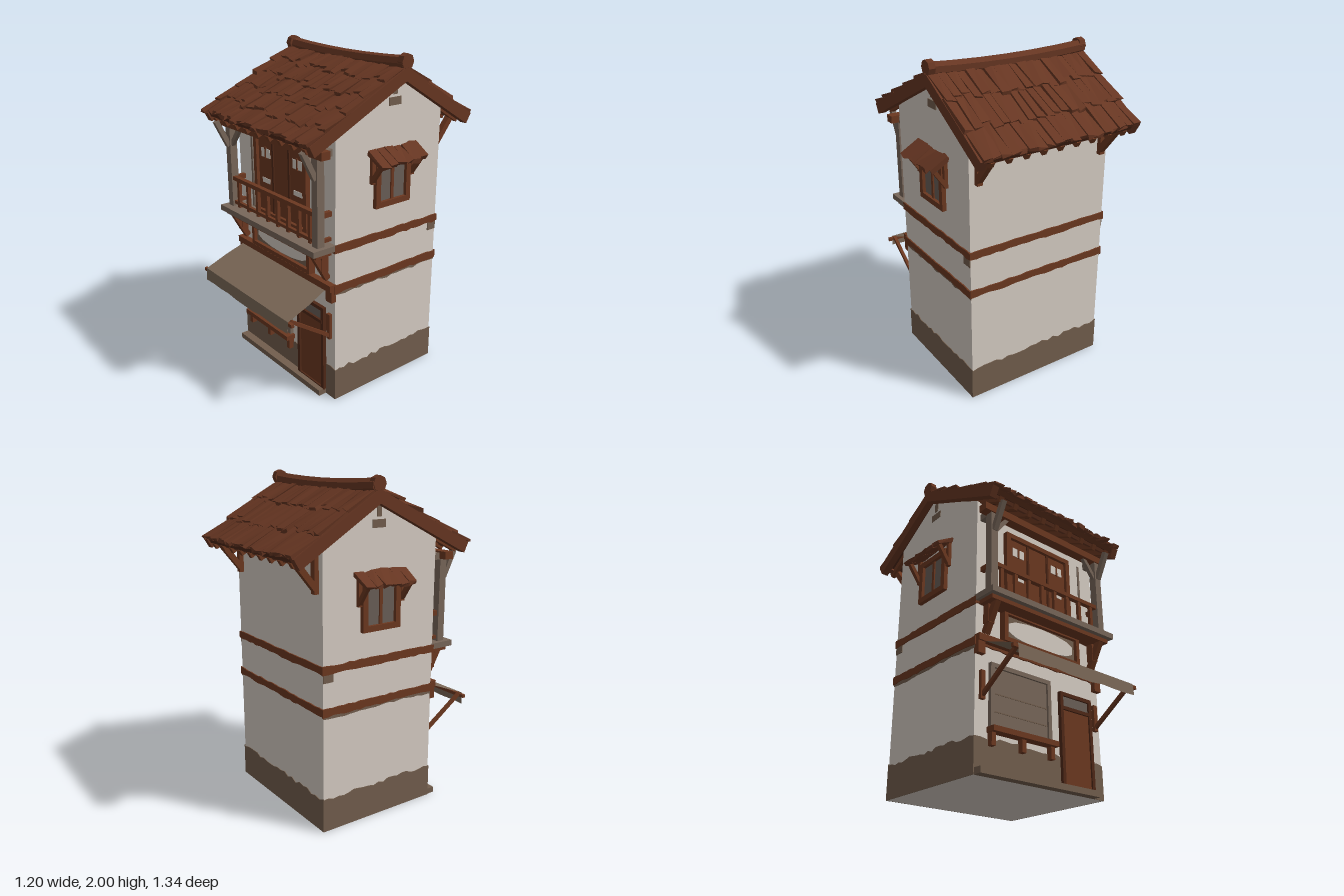
import * as THREE from 'three';
import { mergeGeometries } from 'three/addons/utils/BufferGeometryUtils.js';

const mat = (name, color, side = THREE.FrontSide) => {
  const m = new THREE.MeshStandardMaterial({ color, flatShading: true, side });
  m.name = name;
  return m;
};

export function createModel() {
  const plaster = mat('plaster', 0xd6cdc4);
  const wood = mat('red brown wood', 0x6c3820);
  const roofWood = mat('roof shingle', 0x673622);
  const darkWood = mat('dark wood', 0x4f2817);
  const grey = mat('weathered wood', 0x78675a);
  const stone = mat('base plaster', 0x725e4d);
  const cloth = mat('awning cloth', 0x7b6857, THREE.DoubleSide);
  const glass = mat('window pane', 0x6a5f57);

  let seed = 7;
  const rnd = (a = 1) => { // seeded value in -a..a
    seed = (seed * 16807) % 2147483647;
    return (seed / 2147483647 * 2 - 1) * a;
  };
  const model = new THREE.Group();
  model.name = 'townhouse';

  const add = (parent, name, geo, m) => {
    const mesh = new THREE.Mesh(geo, m);
    mesh.name = name;
    parent.add(mesh);
    return mesh;
  };
  const group = (name, parent = model) => {
    const g = new THREE.Group();
    g.name = name;
    parent.add(g);
    return g;
  };
  // Box given by its extents
  const box = (parent, name, m, x0, x1, y0, y1, z0, z1) => {
    const mesh = add(parent, name, new THREE.BoxGeometry(x1 - x0, y1 - y0, z1 - z0), m);
    mesh.position.set((x0 + x1) / 2, (y0 + y1) / 2, (z0 + z1) / 2);
    return mesh;
  };
  // Square beam between two points
  const beam = (parent, name, m, a, b, w = 0.03, h = w) => {
    const p = new THREE.Vector3(...a), q = new THREE.Vector3(...b);
    const mesh = add(parent, name, new THREE.BoxGeometry(w, h, p.distanceTo(q)), m);
    mesh.position.copy(p).add(q).multiplyScalar(0.5);
    mesh.quaternion.setFromRotationMatrix(new THREE.Matrix4().lookAt(q, p, new THREE.Vector3(0, 1, 0.001)));
    return mesh;
  };
  // Picture frame of four boards
  const frame = (parent, name, m, x0, x1, y0, y1, z0, z1, t) => {
    box(parent, name, m, x0, x0 + t, y0, y1, z0, z1);
    box(parent, name, m, x1 - t, x1, y0, y1, z0, z1);
    box(parent, name, m, x0 + t, x1 - t, y0, y0 + t, z0, z1);
    box(parent, name, m, x0 + t, x1 - t, y1 - t, y1, z0, z1);
  };

  // Walls: gable profile pulled across the width
  const profile = new THREE.Shape([[-0.445, 0], [0.345, 0], [0.345, 1.63], [-0.11, 1.87], [-0.445, 1.66]]
    .map(p => new THREE.Vector2(...p)));
  const walls = new THREE.ExtrudeGeometry(profile, { depth: 0.944, bevelEnabled: false });
  walls.translate(0, 0, -0.472).rotateY(-Math.PI / 2);
  add(model, 'walls', walls, plaster);

  // Ragged bands painted round the walls
  const band = (name, m, y0, y1, ragTop, ragBottom, depth, sides) => {
    for (const s of sides) {
      const half = (s % 2 ? 0.395 : 0.472) + depth;
      const pts = [], n = 22;
      for (let i = 0; i <= n; i++) pts.push(new THREE.Vector2(-half + 2 * half * i / n, y0 + rnd(ragBottom)));
      for (let i = n; i >= 0; i--) pts.push(new THREE.Vector2(-half + 2 * half * i / n, y1 + rnd(ragTop)));
      const geo = new THREE.ExtrudeGeometry(new THREE.Shape(pts), { depth, bevelEnabled: false });
      const mesh = add(model, name, geo.translate(0, 0, s % 2 ? 0.472 : 0.395), m);
      mesh.position.z = -0.05;
      mesh.rotation.y = s * Math.PI / 2;
    }
  };
  band('baseBand', stone, 0, 0.2, 0.012, 0, 0.004, [0, 1, 2, 3]);
  band('lowerBand', wood, 0.705, 0.75, 0.004, 0.005, 0.008, [0, 1, 2, 3]);
  band('upperBand', wood, 0.95, 0.995, 0.004, 0.005, 0.008, [0, 1, 2, 3]);
  band('bandStain', stone, 0.69, 0.71, 0, 0.008, 0.003, [1, 3]);
  for (const s of [-1, 1]) {
    box(model, 'cornerStain', stone, s * 0.474 - 0.003, s * 0.474 + 0.003, 0.9, 0.95, -0.445, -0.38);
    box(model, 'gablePatch', stone, s * 0.473 - 0.003, s * 0.473 + 0.003, 1.72, 1.765, -0.12, -0.03);
    box(model, 'gablePatch', stone, s * 0.473 - 0.003, s * 0.473 + 0.003, 1.78, 1.84, -0.09, -0.06);
  }

  // Jittered shingle: centre x, slope range, thickness
  const shingle = (x, w, s0, s1, n, t) => {
    const g = new THREE.BoxGeometry(w, t, s1 - s0).toNonIndexed();
    const p = g.attributes.position, shift = {};
    for (let i = 0; i < p.count; i++) {
      const key = [p.getX(i) > 0, p.getY(i) > 0, p.getZ(i) > 0].join();
      shift[key] ??= [rnd(0.007), rnd(0.006), rnd(0.012)];
      const d = shift[key];
      const lift = p.getZ(i) > 0 ? 0.01 : -0.006;
      p.setXYZ(i, p.getX(i) + x + d[0], p.getY(i) + n + lift + d[1], p.getZ(i) + (s0 + s1) / 2 + d[2]);
    }
    g.computeVertexNormals();
    return g;
  };

  // Roof slopes: local z runs down the slope, y is outward
  const slope = (name, turn, run, drop, rows) => {
    const g = group(name);
    const len = Math.hypot(run, drop);
    g.position.set(0, 1.92, -0.11);
    g.rotation.order = 'YXZ';
    g.rotation.set(Math.atan2(drop, run), turn, 0);
    box(g, 'roofDeck', darkWood, -0.51, 0.51, -0.03, 0, 0, len - 0.02);
    const tiles = [], cols = 19, step = 1.04 / cols;
    for (let c = 0; c < cols; c++) {
      const shift = rnd(0.03);
      for (let r = 0; r < rows; r++) {
        const s0 = r === 0 ? 0 : len * r / rows + shift - 0.02;
        const s1 = r === rows - 1 ? len + rnd(0.012) : len * (r + 1) / rows + shift + 0.015;
        tiles.push(shingle(-0.52 + (c + 0.5) * step + rnd(0.004), step * 0.98, s0, s1, 0.012 + rnd(0.005), 0.022));
      }
    }
    add(g, 'shingles', mergeGeometries(tiles), roofWood);
    for (const s of [-1, 1]) box(g, 'bargeBoard', roofWood, s * 0.505 - 0.022, s * 0.505 + 0.022, -0.06, 0.008, 0, len - 0.01);
    box(g, 'eaveBoard', roofWood, -0.5, 0.5, -0.05, -0.02, len - 0.06, len - 0.03);
    for (let i = 0; i < 9; i++) {
      const x = -0.44 + i * 0.11;
      box(g, 'rafter', wood, x - 0.014, x + 0.014, -0.065, -0.03, len * 0.55, len - 0.015);
    }
  };
  slope('frontRoof', 0, 0.67, 0.33, 5);
  slope('backRoof', Math.PI, 0.545, 0.33, 3);

  // Sagging ridge log with raised ends
  const ridge = new THREE.CylinderGeometry(0.04, 0.04, 1.04, 7, 6).rotateZ(Math.PI / 2);
  const rp = ridge.attributes.position;
  for (let i = 0; i < rp.count; i++) {
    const x = rp.getX(i);
    rp.setXYZ(i, x, rp.getY(i) + 1.93 + 0.07 * x * x, rp.getZ(i) - 0.115 + x * 0.01);
  }
  add(model, 'ridgeLog', ridge, roofWood);
  for (const s of [-1, 1]) {
    const cap = add(model, 'ridgeEnd', new THREE.CylinderGeometry(0.044, 0.044, 0.04, 8).rotateZ(Math.PI / 2), roofWood);
    cap.position.set(s * 0.505, 1.956, -0.113);
  }

  // Eave brackets at the back corners and under the front eave
  for (const s of [-1, 1]) {
    beam(model, 'backBracket', wood, [s * 0.42, 1.4, -0.445], [s * 0.42, 1.58, -0.59], 0.035);
    beam(model, 'backBracketPost', wood, [s * 0.42, 1.39, -0.455], [s * 0.42, 1.62, -0.455], 0.035);
    beam(model, 'frontBracket', grey, [s * 0.43, 1.39, 0.45], [s * 0.43, 1.55, 0.53], 0.03);
    beam(model, 'postBrace', grey, [s * 0.42, 1.39, 0.43], [s * 0.31, 1.53, 0.43], 0.025);
  }

  // Balcony
  const balcony = group('balcony');
  box(balcony, 'balconyFloor', grey, -0.48, 0.48, 0.965, 1.0, 0.34, 0.5);
  box(balcony, 'floorBeam', wood, -0.46, 0.46, 0.94, 0.967, 0.36, 0.47);
  box(balcony, 'headBeam', wood, -0.5, 0.5, 1.505, 1.55, 0.4, 0.46);
  box(balcony, 'topRail', wood, -0.42, 0.42, 1.17, 1.195, 0.415, 0.445);
  box(balcony, 'bottomRail', wood, -0.42, 0.42, 1.015, 1.035, 0.42, 0.44);
  for (let i = 0; i < 8; i++) {
    const x = -0.36 + i * 0.103;
    box(balcony, 'baluster', wood, x - 0.011, x + 0.011, 1.0, 1.17, 0.42, 0.44);
  }
  for (const s of [-1, 1]) {
    box(balcony, 'balconyPost', grey, s * 0.43 - 0.024, s * 0.43 + 0.024, 1.0, 1.51, 0.405, 0.453);
    box(balcony, 'sideRail', wood, s * 0.43 - 0.013, s * 0.43 + 0.013, 1.16, 1.19, 0.345, 0.41);
    box(balcony, 'sideLowerRail', wood, s * 0.43 - 0.01, s * 0.43 + 0.01, 1.015, 1.035, 0.345, 0.41);
    box(balcony, 'sideBeam', grey, s * 0.43 - 0.02, s * 0.43 + 0.02, 1.5, 1.54, 0.34, 0.41);
    box(balcony, 'floorBracket', wood, s * 0.41 - 0.022, s * 0.41 + 0.022, 0.83, 0.95, 0.36, 0.405);
    beam(balcony, 'floorBrace', wood, [s * 0.41, 0.78, 0.355], [s * 0.41, 0.95, 0.45], 0.035);
  }

  // Balcony doors with small panes
  const doors = group('balconyDoors');
  box(doors, 'doorPanel', wood, -0.25, 0.23, 1.0, 1.47, 0.34, 0.355);
  frame(doors, 'doorFrame', wood, -0.27, 0.25, 0.99, 1.49, 0.34, 0.375, 0.03);
  for (const x of [-0.09, 0.07]) box(doors, 'doorStile', darkWood, x - 0.008, x + 0.008, 1.02, 1.46, 0.35, 0.362);
  for (const x of [-0.165, 0.15]) {
    box(doors, 'upperPane', plaster, x - 0.045, x + 0.045, 1.355, 1.41, 0.353, 0.358);
    box(doors, 'lowerPane', plaster, x - 0.04, x + 0.04, 1.195, 1.225, 0.353, 0.358);
    box(doors, 'paneBar', wood, x - 0.006, x + 0.006, 1.35, 1.42, 0.355, 0.362);
  }
  for (const x of [-0.33, 0.36]) box(doors, 'wallStud', grey, x - 0.008, x + 0.008, 1.0, 1.5, 0.343, 0.35);

  // Blank sign board
  const sign = group('signBoard');
  box(sign, 'signEdge', stone, -0.28, 0.27, 0.78, 0.94, 0.345, 0.368);
  const oval = new THREE.Shape();
  oval.absellipse(0, 0, 0.255, 0.066, 0, Math.PI * 2);
  const blank = new THREE.ExtrudeGeometry(oval, { depth: 0.004, bevelEnabled: false, curveSegments: 8 });
  const bp = blank.attributes.position; // square the oval off
  for (let i = 0; i < bp.count; i++) bp.setX(i, THREE.MathUtils.clamp(bp.getX(i) * 1.12, -0.25, 0.25));
  add(sign, 'signFace', blank, plaster).position.set(-0.005, 0.86, 0.368);
  frame(sign, 'signFrame', wood, -0.3, 0.29, 0.765, 0.955, 0.345, 0.39, 0.025);

  // Cloth awning over the shop front
  const awning = group('shopAwning');
  box(awning, 'awningBeam', wood, -0.475, 0.475, 0.72, 0.76, 0.34, 0.385);
  const sheet = new THREE.PlaneGeometry(0.88, 1, 10, 3);
  const sp = sheet.attributes.position, path = [[0.54, 0.655], [0.615, 0.65], [0.67, 0.51], [0.725, 0.37]];
  for (let i = 0; i < sp.count; i++) {
    const row = Math.round((sp.getY(i) + 0.5) * 3);
    sp.setXYZ(i, sp.getX(i) * (row === 3 ? 0.97 : 1), path[row][0] + (row === 0 ? rnd(0.006) : 0), path[row][1]);
  }
  sheet.computeVertexNormals();
  add(awning, 'awningCloth', sheet, cloth);
  beam(awning, 'awningPole', wood, [-0.47, 0.6, 0.64], [0.47, 0.6, 0.64], 0.02);
  for (const s of [-1, 1]) {
    beam(awning, 'awningStrut', wood, [s * 0.43, 0.42, 0.355], [s * 0.43, 0.61, 0.63], 0.02);
    box(awning, 'strutPlate', wood, s * 0.43 - 0.014, s * 0.43 + 0.014, 0.4, 0.56, 0.345, 0.365);
    box(awning, 'beamEnd', wood, s * 0.45 - 0.025, s * 0.45 + 0.025, 0.65, 0.72, 0.34, 0.375);
  }

  // Shop window with shelf
  const shop = group('shopWindow');
  box(shop, 'shutter', grey, -0.36, 0.04, 0.26, 0.6, 0.34, 0.355);
  frame(shop, 'shopFrame', grey, -0.38, 0.06, 0.24, 0.62, 0.34, 0.368, 0.025);
  for (const y of [0.35, 0.45]) box(shop, 'shutterGroove', stone, -0.355, 0.035, y - 0.003, y + 0.003, 0.352, 0.358);
  box(shop, 'shelf', wood, -0.39, 0.075, 0.23, 0.26, 0.34, 0.405);
  for (const x of [-0.37, -0.16, 0.05]) {
    box(shop, 'shelfBracket', wood, x - 0.014, x + 0.014, 0.16, 0.23, 0.345, 0.38);
  }

  // Shop door, transom and doorstep
  const door = group('shopDoor');
  box(door, 'doorLeaf', wood, 0.16, 0.37, 0.03, 0.48, 0.34, 0.358);
  frame(door, 'doorFrame', darkWood, 0.135, 0.39, 0.02, 0.58, 0.34, 0.368, 0.022);
  box(door, 'doorLintel', darkWood, 0.155, 0.375, 0.475, 0.495, 0.34, 0.37);
  box(door, 'transom', glass, 0.157, 0.37, 0.495, 0.56, 0.34, 0.356);
  box(model, 'plinth', stone, -0.472, 0.39, 0, 0.035, 0.34, 0.4);

  // Side windows, each with a shingled hood
  for (const s of [-1, 1]) {
    const w = group(s > 0 ? 'leftWindow' : 'rightWindow');
    w.position.set(s * 0.472, 0, -0.062);
    w.rotation.y = s * Math.PI / 2;
    box(w, 'pane', glass, -0.11, 0.11, 1.17, 1.41, -0.005, 0.006);
    frame(w, 'windowFrame', wood, -0.132, 0.132, 1.15, 1.43, -0.005, 0.026, 0.034);
    box(w, 'mullion', wood, -0.01, 0.01, 1.18, 1.4, 0, 0.015);
    for (const e of [-1, 1]) {
      beam(w, 'hoodBrace', wood, [e * 0.15, 1.31, 0.008], [e * 0.15, 1.42, 0.085], 0.024);
      box(w, 'hoodPost', wood, e * 0.15 - 0.012, e * 0.15 + 0.012, 1.3, 1.47, 0, 0.022);
    }
    const hood = group('hood', w);
    hood.position.set(0, 1.485, 0);
    hood.rotation.x = 0.66;
    const tiles = [];
    for (let i = 0; i < 6; i++) tiles.push(shingle(-0.147 + i * 0.0588, 0.06, -0.005, 0.128 + rnd(0.006), 0.003, 0.026));
    add(hood, 'hoodShingles', mergeGeometries(tiles), roofWood);
  }
  return model;
}
